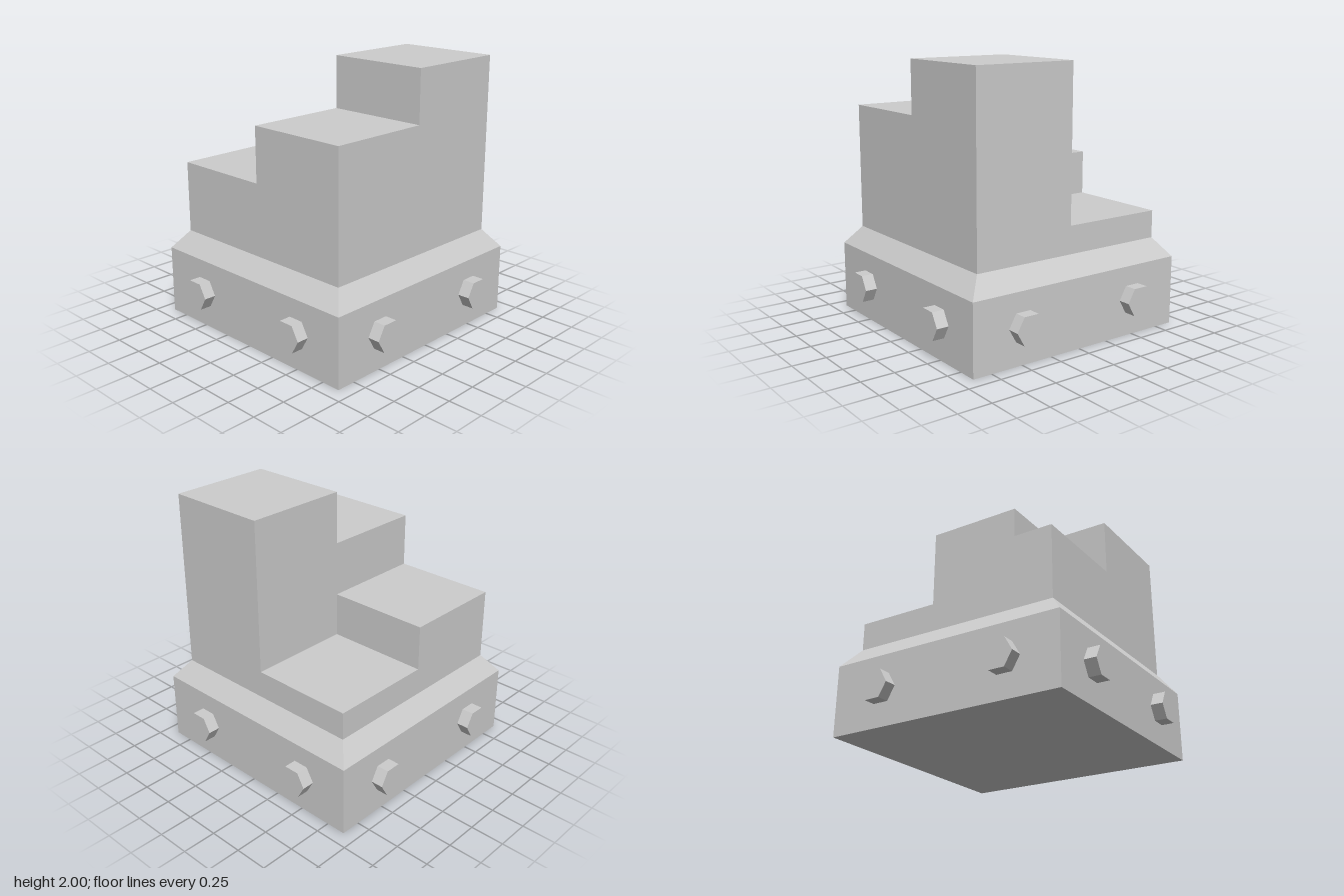
import * as THREE from 'three';

const BASE = 0.897, BASE_TOP = 0.52; // plinth half width and height
const BODY = 0.788, BODY_Y = 0.66; // stepped body half width and foot

// Faceted prism or frustum with hard edges, axis along y
function prism(rTop, rBottom, height, sides, turn, open = false) {
  const g = new THREE.CylinderGeometry(rTop, rBottom, height, sides, 1, open, turn).toNonIndexed();
  g.computeVertexNormals();
  return g;
}

export function createModel() {
  const grey = new THREE.MeshStandardMaterial({ color: 0xcccccc });
  grey.name = 'light grey';
  const model = new THREE.Group();
  model.name = 'steppedBlock';

  const add = (name, geometry, x, y, z, parent = model) => {
    const mesh = new THREE.Mesh(geometry, grey);
    mesh.name = name;
    mesh.position.set(x, y, z);
    parent.add(mesh);
    return mesh;
  };

  // Square plinth with a sloping shoulder
  add('plinth', new THREE.BoxGeometry(2 * BASE, BASE_TOP, 2 * BASE), 0, BASE_TOP / 2, 0);
  const slope = BODY_Y - BASE_TOP;
  add('shoulder', prism(BODY * Math.SQRT2, BASE * Math.SQRT2, slope, 4, Math.PI / 4, true),
    0, BASE_TOP + slope / 2, 0);

  // Four quarter columns of different heights: name, x side, z side, top
  const columns = [
    ['tallColumn', 1, -1, 2],
    ['highColumn', 1, 1, 1.61],
    ['middleColumn', -1, 1, 1.2],
    ['lowColumn', -1, -1, 0.865],
  ];
  for (const [name, sx, sz, top] of columns) {
    add(name, new THREE.BoxGeometry(BODY, top - BODY_Y, BODY),
      sx * BODY / 2, (top + BODY_Y) / 2, sz * BODY / 2);
  }

  // Two hexagonal bolts on each side of the plinth
  const depth = 0.091;
  const boltGeometry = prism(0.116, 0.116, depth, 6, Math.PI / 2).rotateX(Math.PI / 2);
  for (let side = 0; side < 4; side++) {
    const bolts = new THREE.Group();
    bolts.name = 'boltPair';
    bolts.rotation.y = side * Math.PI / 2;
    for (const x of [-0.494, 0.494]) add('bolt', boltGeometry, x, 0.275, BASE + depth / 2, bolts);
    model.add(bolts);
  }
  return model;
}
